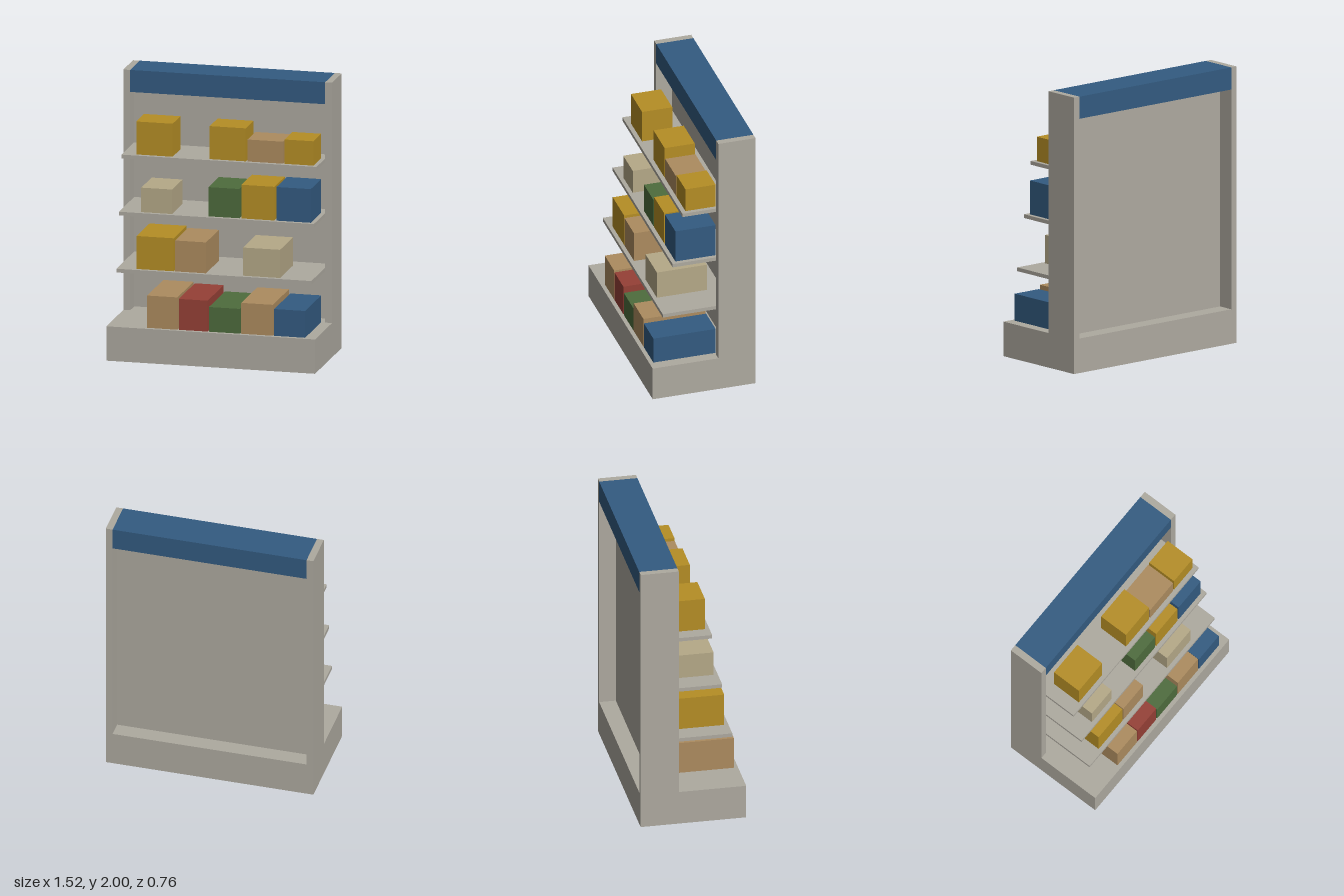
import * as THREE from 'three';

const paint = (name, color, side = THREE.FrontSide) => {
  const m = new THREE.MeshStandardMaterial({ color, side });
  m.name = name;
  return m;
};

export function createModel() {
  const group = new THREE.Group();
  group.name = 'shelvingUnit';

  const grey = paint('warmGrey', 0xaeaaa0, THREE.DoubleSide);
  const blue = paint('blue', 0x335b81);
  const yellow = paint('mustard', 0xb58e25);
  const tan = paint('cardboard', 0xad8c5f);
  const green = paint('green', 0x4e6c3d);
  const red = paint('red', 0x964036);
  const beige = paint('beige', 0xb5a988);

  // Box given by its extents; openBottom drops the underside face
  const box = (name, mat, [x0, x1], [y0, y1], [z0, z1], openBottom = false) => {
    const geo = new THREE.BoxGeometry(x1 - x0, y1 - y0, z1 - z0);
    if (openBottom) {
      const index = Array.from(geo.index.array);
      index.splice(18, 6);
      geo.setIndex(index);
      geo.clearGroups();
    }
    const mesh = new THREE.Mesh(geo, mat);
    mesh.name = name;
    mesh.position.set((x0 + x1) / 2, (y0 + y1) / 2, (z0 + z1) / 2);
    group.add(mesh);
  };

  const inner = 0.71, outer = 0.76, back = -0.38, front = -0.105, baseTop = 0.25;

  // Frame: hollow plinth, side panels, recessed back panel and header
  box('plinthFront', grey, [-outer, outer], [0, baseTop], [front, 0.38], true);
  box('plinthRear', grey, [-inner, inner], [0, baseTop], [back, front], true);
  box('leftPanel', grey, [inner, outer], [0, 2], [back, front], true);
  box('rightPanel', grey, [-outer, -inner], [0, 2], [back, front], true);
  box('backPanel', grey, [-inner, inner], [baseTop, 1.84], [-0.26, -0.22]);
  box('header', blue, [-inner, inner], [1.84, 2], [back, front]);

  // Each row: shelf top, shelf front, goods front, goods as [x0, x1, top, colour]
  const rows = [
    { y: baseTop, goodsZ: 0.35, goods: [
      [-0.47, -0.25, 0.485, tan], [-0.24, -0.03, 0.475, red], [-0.02, 0.205, 0.43, green],
      [0.215, 0.445, 0.475, tan], [0.455, 0.68, 0.445, blue]] },
    { y: 0.65, shelfZ: 0.29, goodsZ: 0.26, goods: [
      [-0.57, -0.3, 0.89, yellow], [-0.29, -0.065, 0.875, tan], [0.205, 0.475, 0.855, beige]] },
    { y: 1.047, shelfZ: 0.217, goodsZ: 0.187, goods: [
      [-0.555, -0.33, 1.225, beige], [-0.065, 0.16, 1.26, green],
      [0.175, 0.415, 1.292, yellow], [0.43, 0.68, 1.292, blue]] },
    { y: 1.445, shelfZ: 0.145, goodsZ: 0.113, goods: [
      [-0.61, -0.345, 1.685, yellow], [-0.075, 0.187, 1.685, yellow],
      [0.2, 0.46, 1.605, tan], [0.47, 0.68, 1.622, yellow]] },
  ];

  for (const { y, shelfZ, goodsZ, goods } of rows) {
    if (shelfZ) box('shelf', grey, [-inner, inner], [y - 0.027, y], [-0.22, shelfZ]);
    for (const [x0, x1, top, mat] of goods) {
      box('carton', mat, [x0, x1], [y, top], [-0.11, goodsZ]);
    }
  }

  return group;
}
